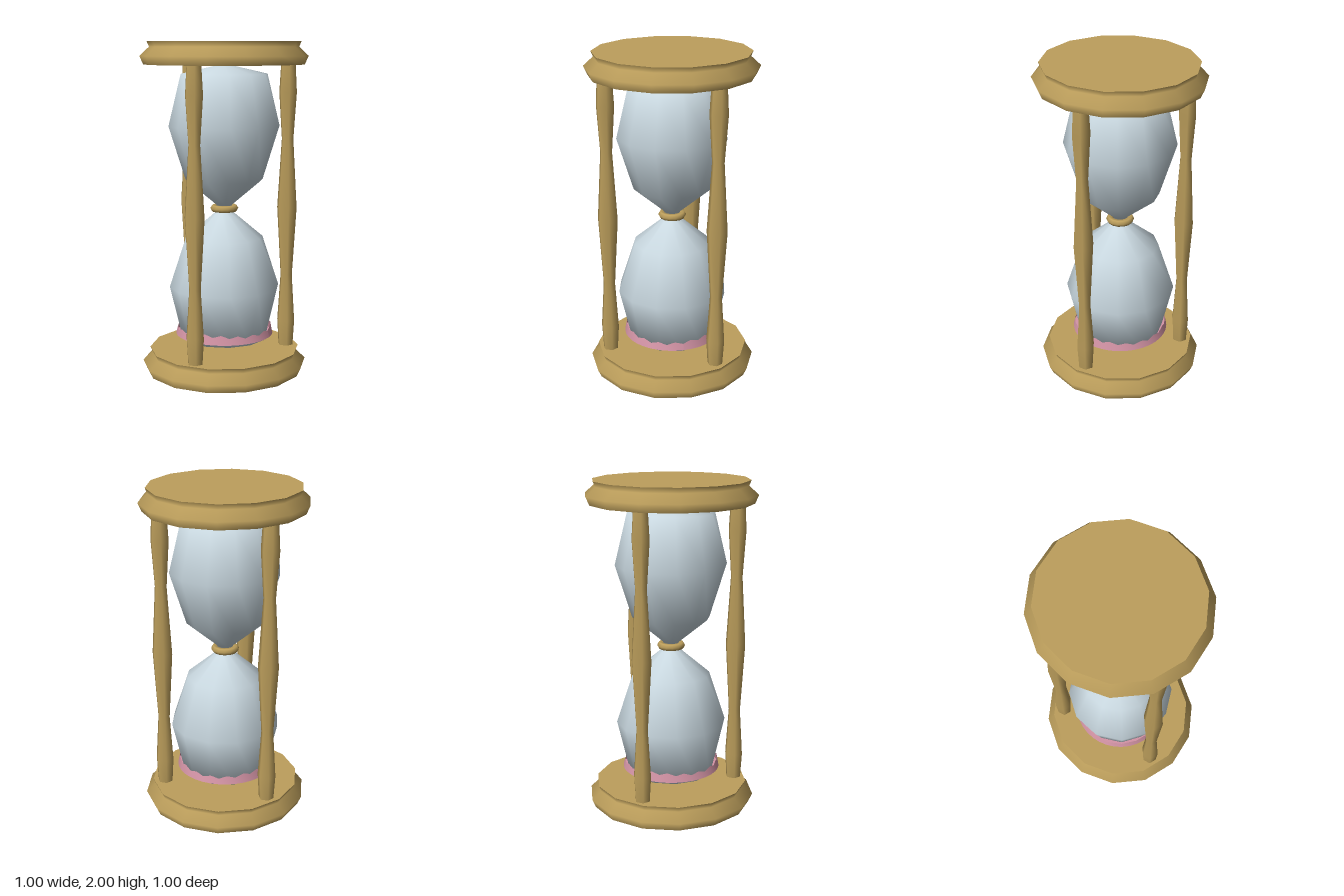
import * as THREE from 'three';

const mat = (name, color, side = THREE.FrontSide) => {
  const m = new THREE.MeshStandardMaterial({ color, side });
  m.name = name;
  return m;
};

// Revolved solid from [radius, y] pairs, listed upwards, first corner on +x
function lathe(name, profile, sides, material) {
  const points = profile.map(([r, y]) => new THREE.Vector2(r, y));
  const mesh = new THREE.Mesh(new THREE.LatheGeometry(points, sides, Math.PI / 2), material);
  mesh.name = name;
  return mesh;
}

// Flat polygon facing up (dir 1) or down (dir -1)
function cap(name, radius, y, dir, sides, material) {
  const mesh = new THREE.Mesh(new THREE.CircleGeometry(radius, sides), material);
  mesh.rotation.x = -dir * Math.PI / 2;
  mesh.position.y = y;
  mesh.name = name;
  return mesh;
}

export function createModel() {
  const wood = mat('goldenWood', 0xbd9f5c);
  const glass = mat('paleGlass', 0xc9d8e0);
  const pink = mat('pinkSand', 0xd494a6, THREE.DoubleSide);
  const model = new THREE.Group();
  model.name = 'hourglass';

  // End plates: moulded rim with flat caps
  const plateSides = 14;
  for (const [name, y] of [['basePlate', 0], ['topPlate', 1.865]]) {
    const plate = new THREE.Group();
    plate.name = name;
    plate.add(
      lathe('plateRim', [[0.478, 0], [0.5, 0.05], [0.443, 0.103], [0.456, 0.135]], plateSides, wood),
      cap('plateTop', 0.456, 0.135, 1, plateSides, wood),
      cap('plateUnderside', 0.478, 0, -1, plateSides, wood));
    plate.position.y = y;
    plate.scale.z = 1.025;
    model.add(plate);
  }

  // Three turned posts
  const postProfile = [[0.046, 0.13], [0.056, 0.29], [0.037, 0.58], [0.063, 1.0],
    [0.037, 1.42], [0.056, 1.7], [0.046, 1.87]];
  for (const [name, x, z] of [['frontPost', -0.012, 0.394], ['leftPost', 0.335, -0.188], ['rightPost', -0.328, -0.203]]) {
    const post = lathe(name, postProfile, 6, wood);
    post.position.set(x, 0, z);
    model.add(post);
  }

  // Glass bulbs meeting at the neck
  model.add(
    lathe('lowerBulb', [[0, 0.138], [0.26, 0.2], [0.335, 0.52], [0.235, 0.825], [0.045, 0.985], [0.04, 1.0]], 12, glass),
    lathe('upperBulb', [[0.04, 1.0], [0.05, 1.025], [0.235, 1.18], [0.335, 1.5], [0.26, 1.81], [0, 1.87]], 12, glass));

  // Neck ring
  const ring = new THREE.Mesh(new THREE.TorusGeometry(0.063, 0.022, 6, 14), wood);
  ring.rotation.x = Math.PI / 2;
  ring.position.y = 1.002;
  ring.name = 'neckRing';
  model.add(ring);

  // Sand band with a ragged upper edge
  const sand = lathe('sandBand', [[0.298, 0.225], [0.287, 0.272]], 36, pink);
  const p = sand.geometry.attributes.position;
  for (let i = 1; i < p.count; i += 2) {
    const k = ((i - 1) / 2) % 36;
    p.setY(i, 0.27 + (k % 2 ? 0.009 : -0.007) + 0.006 * Math.sin(k * Math.PI / 6));
  }
  sand.geometry.computeVertexNormals();
  model.add(sand, cap('sandUnderside', 0.298, 0.225, -1, 36, pink));

  return model;
}
